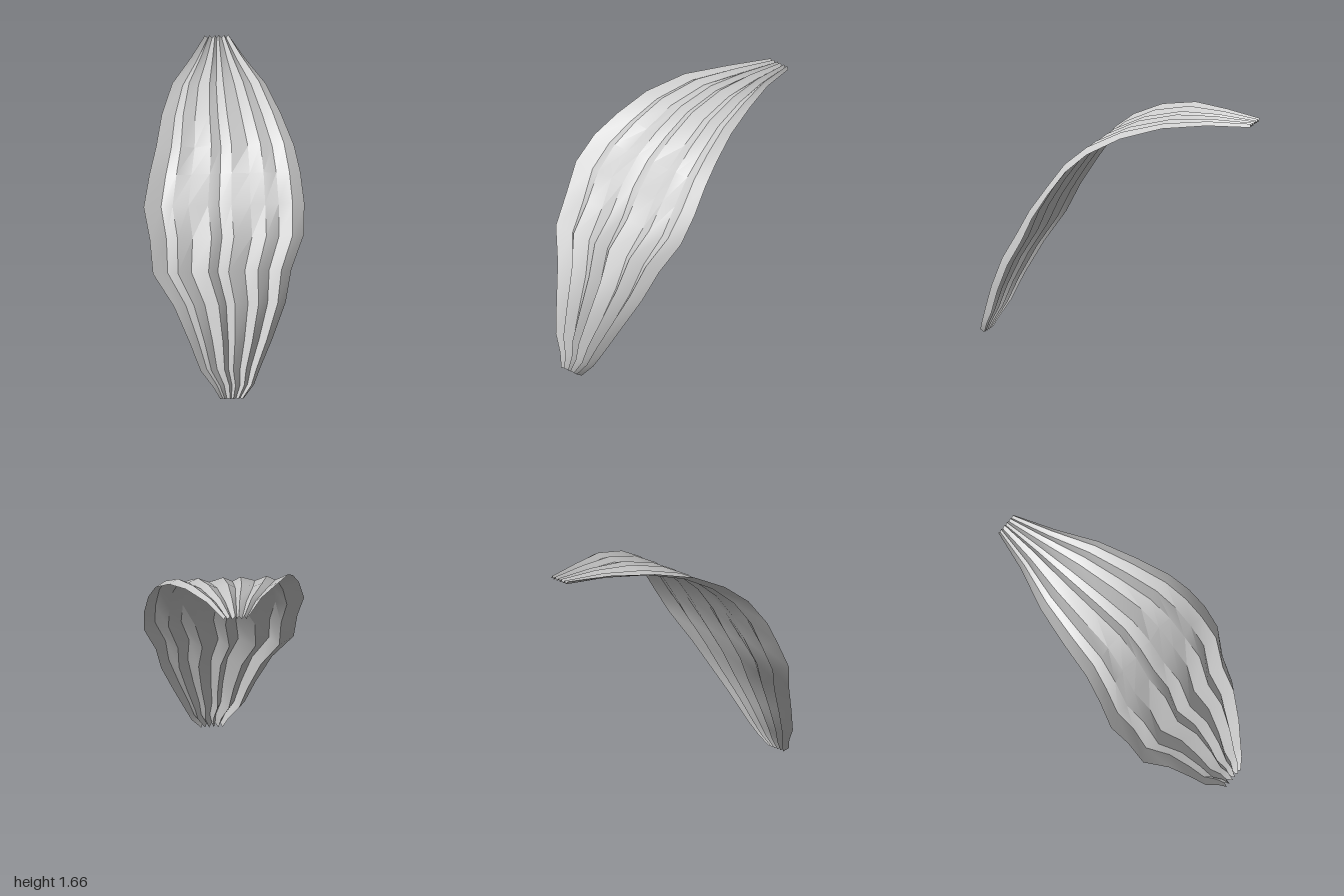
import * as THREE from 'three';
import { toCreasedNormals } from 'three/addons/utils/BufferGeometryUtils.js';

// Cross-sections from the base to the tip: y, z, left end x, right end x, fold depth, inner fold factor
const SECTIONS = [
  [0.02, 0.955, -0.06, 0.10, 0.02, 1],
  [0.10, 0.915, -0.11, 0.17, 0.022, 1],
  [0.20, 0.87, -0.19, 0.215, 0.03, 1],
  [0.38, 0.795, -0.26, 0.30, 0.032, 1],
  [0.60, 0.685, -0.36, 0.395, 0.034, 1],
  [0.79, 0.57, -0.495, 0.44, 0.036, 0.9],
  [0.99, 0.455, -0.51, 0.53, 0.038, 0.55],
  [1.17, 0.335, -0.545, 0.54, 0.036, 0.35],
  [1.34, 0.21, -0.50, 0.52, 0.034, 0.4],
  [1.465, 0.06, -0.445, 0.485, 0.026, 0.6],
  [1.575, -0.16, -0.395, 0.41, 0.02, 0.7],
  [1.645, -0.43, -0.31, 0.32, 0.013, 0.9],
  [1.662, -0.71, -0.17, 0.20, 0.012, 1],
  [1.655, -0.99, -0.06, 0.11, 0.011, 1],
];

// Fold lines across the width, -1 to 1; ridges and valleys alternate
const FOLDS = [-1, -0.78, -0.64, -0.44, -0.2, -0.06, 0.09, 0.33, 0.51, 0.68, 0.85, 1];

function pleatedSheet() {
  const n = FOLDS.length, positions = [], indices = [];
  SECTIONS.forEach(([y, z, left, right, depth, inner], r) => {
    // Normal of the spine in the side plane
    const a = SECTIONS[Math.max(r - 1, 0)];
    const b = SECTIONS[Math.min(r + 1, SECTIONS.length - 1)];
    const dy = b[0] - a[0], dz = b[1] - a[1], len = Math.hypot(dy, dz);
    FOLDS.forEach((u, c) => {
      const edge = c === 0 || c === n - 1;
      const d = (c % 2 ? -1 : 1) * depth * (edge ? 1 : inner);
      const x = left + (right - left) * (u + 1) / 2;
      positions.push(x, Math.max(0, y - d * dz / len), z + d * dy / len);
      if (r > 0 && c > 0) {
        const q = r * n + c, p = q - n;
        indices.push(p - 1, p, q, p - 1, q, q - 1);
      }
    });
  });
  const geometry = new THREE.BufferGeometry();
  geometry.setAttribute('position', new THREE.Float32BufferAttribute(positions, 3));
  geometry.setIndex(indices);
  return toCreasedNormals(geometry, 0.6);
}

export function createModel() {
  const model = new THREE.Group();
  model.name = 'archedLeaf';
  const material = new THREE.MeshStandardMaterial({ color: 0xcccccc, side: THREE.DoubleSide });
  // Thin pleated blade, arching from the base up and back to the tip
  const blade = new THREE.Mesh(pleatedSheet(), material);
  blade.name = 'pleatedBlade';
  model.add(blade);
  return model;
}
